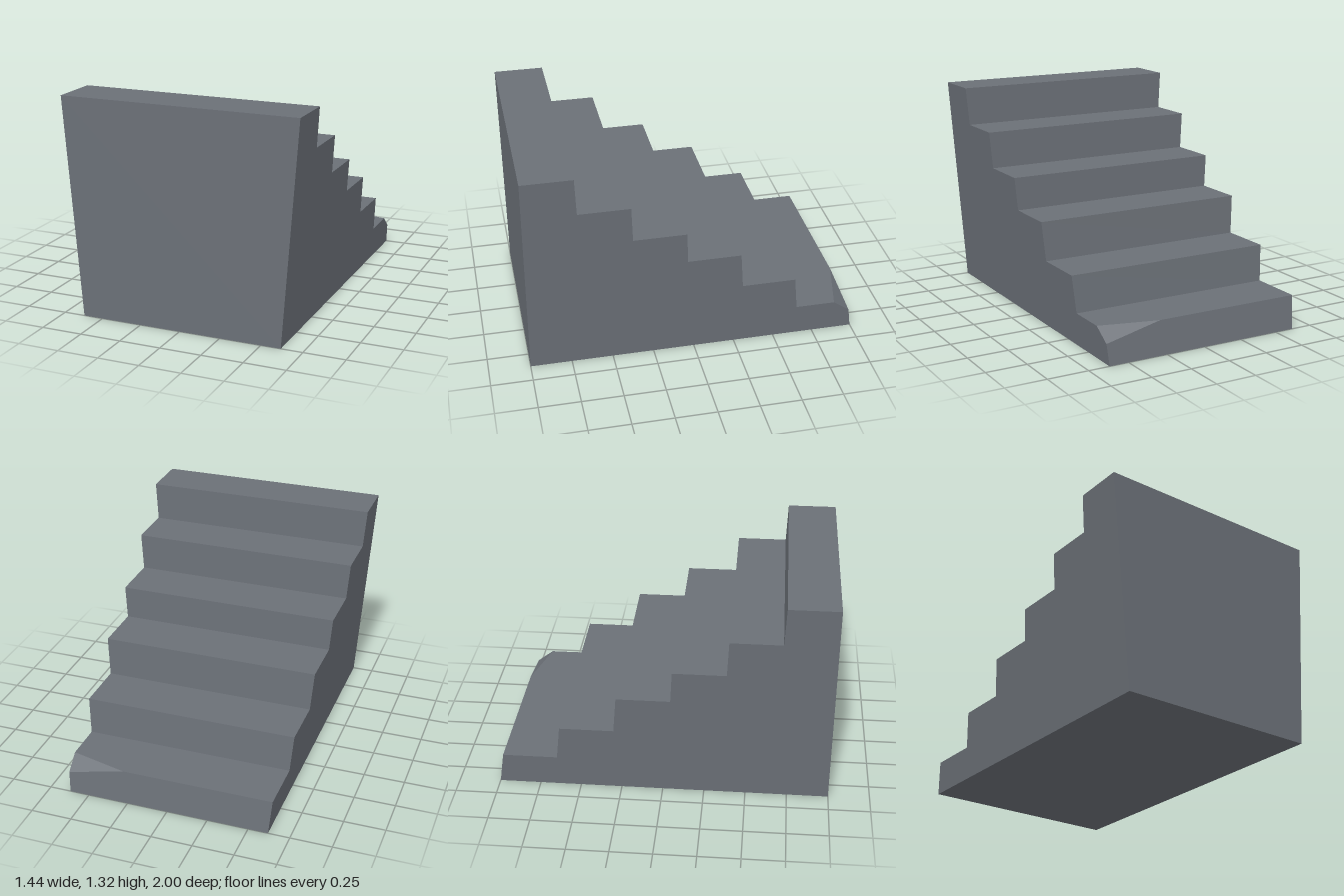
import * as THREE from 'three';

// Side profile as [z, y], from the tall front wall down the steps to the back
const profile = [[1, 0], [1, 1.315], [0.7, 1.315], [0.69, 1.08], [0.385, 1.08], [0.375, 0.855],
  [0.06, 0.855], [0.05, 0.655], [-0.27, 0.655], [-0.29, 0.42], [-0.615, 0.42], [-0.64, 0.2],
  [-0.97, 0.2], [-1, 0]];

// The block widens evenly with height
const halfWidth = y => 0.62 + 0.1 * y / 1.315;
const left = ([z, y]) => [halfWidth(y), y, z];
const right = ([z, y]) => [-halfWidth(y), y, z];

// Fan of triangles over a convex, counter-clockwise polygon
function fan(points) {
  const out = [];
  for (let i = 1; i < points.length - 1; i++) out.push(points[0], points[i], points[i + 1]);
  return out;
}

// Side wall filled from an outline; sign is the direction it faces along x
function wall(outline, place, sign) {
  const pts = outline.map(([z, y]) => new THREE.Vector2(z, y));
  return THREE.ShapeUtils.triangulateShape(pts, []).flatMap(([a, b, c]) => {
    const area = (pts[b].x - pts[a].x) * (pts[c].y - pts[a].y) - (pts[b].y - pts[a].y) * (pts[c].x - pts[a].x);
    const order = area * sign < 0 ? [a, b, c] : [a, c, b];
    return order.map(i => place(outline[i]));
  });
}

export function createModel() {
  const group = new THREE.Group();
  const stone = new THREE.MeshStandardMaterial({ color: 0x6b7077 });
  stone.name = 'grey stone';

  const add = (name, triangles) => {
    const geometry = new THREE.BufferGeometry();
    geometry.setAttribute('position', new THREE.Float32BufferAttribute(triangles.flat(), 3));
    geometry.computeVertexNormals();
    const mesh = new THREE.Mesh(geometry, stone);
    mesh.name = name;
    group.add(mesh);
  };

  // Corners of the chip broken off the lowest step
  const chipSide = [-0.88, 0.2], chipLow = [-0.981, 0.125];
  const chipEdge = [0.28, 0.2, -0.97];
  const n = profile.length, nose = profile[n - 2], end = profile[n - 1];

  // Front wall, treads, risers and underside
  for (let i = 0; i < n; i++) {
    if (i === n - 3 || i === n - 2) continue;
    const a = profile[i], b = profile[(i + 1) % n];
    const name = i === 0 ? 'frontWall' : i === n - 1 ? 'underside' : i % 2 ? 'tread' : 'riser';
    add(name, fan([left(a), left(b), right(b), right(a)]));
  }

  // Lowest step with its chipped corner
  const a = profile[n - 3];
  add('lowestTread', fan([left(a), left(chipSide), chipEdge, right(nose), right(a)]));
  add('lowestRiser', fan([chipEdge, left(chipLow), left(end), right(end), right(nose)]));
  add('chippedCorner', [left(chipSide), left(chipLow), chipEdge]);

  // Leaning side walls
  add('leftWall', wall([...profile.slice(0, n - 2), chipSide, chipLow, end], left, 1));
  add('rightWall', wall(profile, right, -1));
  return group;
}
